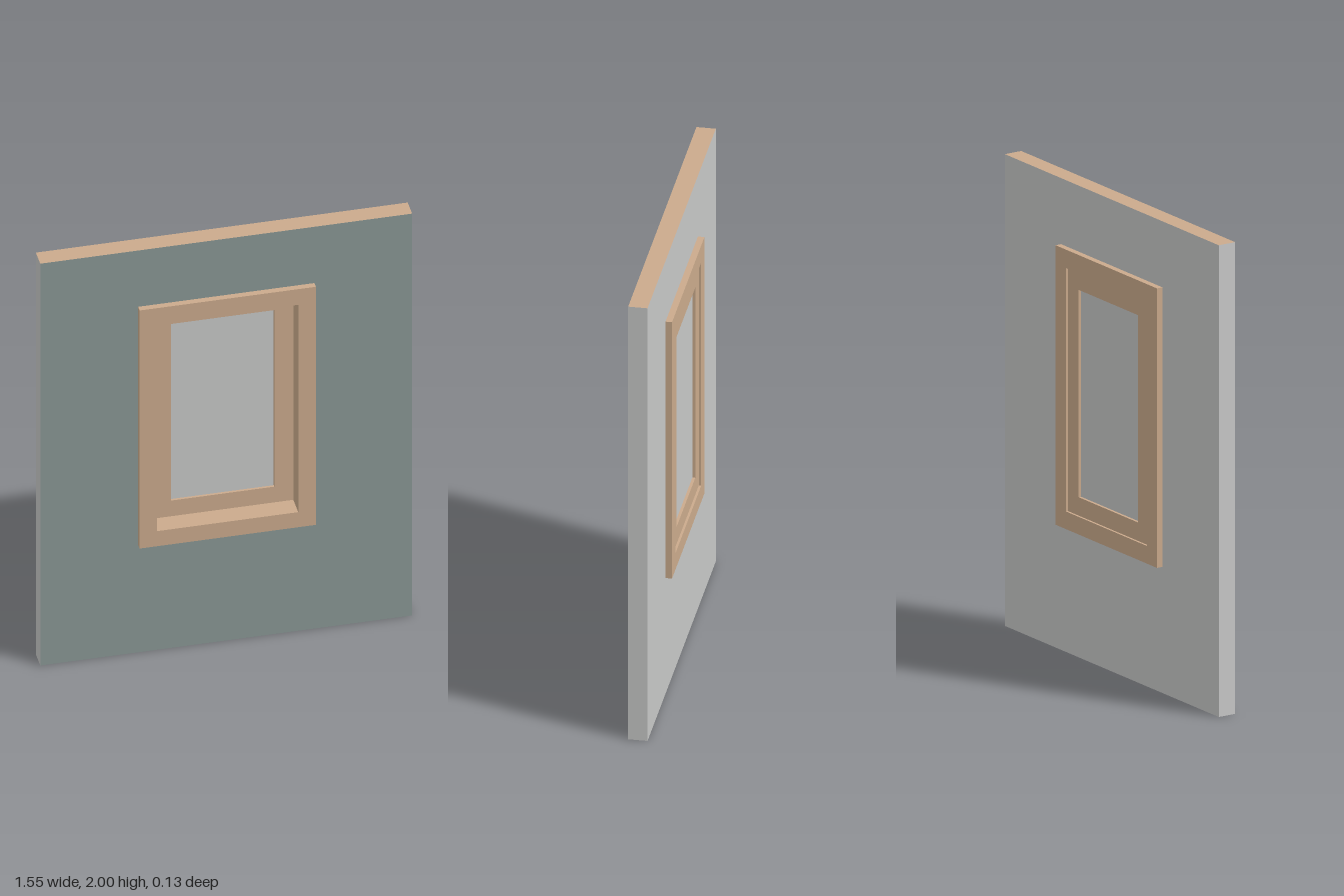
import * as THREE from 'three';

const material = (name, color) => {
  const m = new THREE.MeshStandardMaterial({ color });
  m.name = name;
  return m;
};

// Rectangle with a rectangular hole, centred on x = 0
function ringShape(w, y0, y1, holeW, holeY0, holeY1) {
  const corners = (hw, a, b) => [[-hw, a], [hw, a], [hw, b], [-hw, b]].map(p => new THREE.Vector2(...p));
  const shape = new THREE.Shape(corners(w / 2, y0, y1));
  shape.holes.push(new THREE.Path(corners(holeW / 2, holeY0, holeY1).reverse()));
  return shape;
}

export function createModel() {
  const teal = material('teal paint', 0x889694);
  const grey = material('pale grey', 0xc7c8c7);
  const wood = material('light wood', 0xcaaa8c);

  const model = new THREE.Group();
  model.name = 'wallWithWindow';
  const add = (name, geometry, mat, parent = model) => {
    const mesh = new THREE.Mesh(geometry, mat);
    mesh.name = name;
    parent.add(mesh);
    return mesh;
  };

  // Wall panel: differently coloured faces around a window opening
  const W = 1.55, H = 2, D = 0.08;
  const wall = new THREE.Group();
  wall.name = 'wall';
  model.add(wall);
  const face = new THREE.ShapeGeometry(ringShape(W, 0, H, 0.66, 0.57, 1.68));
  add('wallFront', face, teal, wall).position.z = D / 2;
  const back = add('wallBack', face, grey, wall);
  back.position.z = -D / 2;
  back.rotation.y = Math.PI;
  for (const s of [-1, 1]) {
    const side = add(s > 0 ? 'wallLeftEdge' : 'wallRightEdge', new THREE.PlaneGeometry(D, H), grey, wall);
    side.position.set(s * W / 2, H / 2, 0);
    side.rotation.y = s * Math.PI / 2;
    const edge = add(s > 0 ? 'wallTopEdge' : 'wallBottomEdge', new THREE.PlaneGeometry(W, D), wood, wall);
    edge.position.y = s > 0 ? H : 0;
    edge.rotation.x = -s * Math.PI / 2;
  }

  // Window frame and the sash set near its back
  const ring = (name, shape, z0, z1) => {
    const g = new THREE.ExtrudeGeometry(shape, { depth: z1 - z0, bevelEnabled: false });
    add(name, g.translate(0, 0, z0), wood);
  };
  ring('windowFrame', ringShape(0.735, 0.535, 1.72, 0.588, 0.61, 1.642), -0.067, 0.067);
  ring('windowSash', ringShape(0.588, 0.61, 1.642, 0.43, 0.688, 1.567), -0.057, -0.022);

  // Pane
  add('windowPane', new THREE.BoxGeometry(0.43, 0.879, 0.012), grey).position.set(0, 1.1275, -0.039);

  return model;
}
